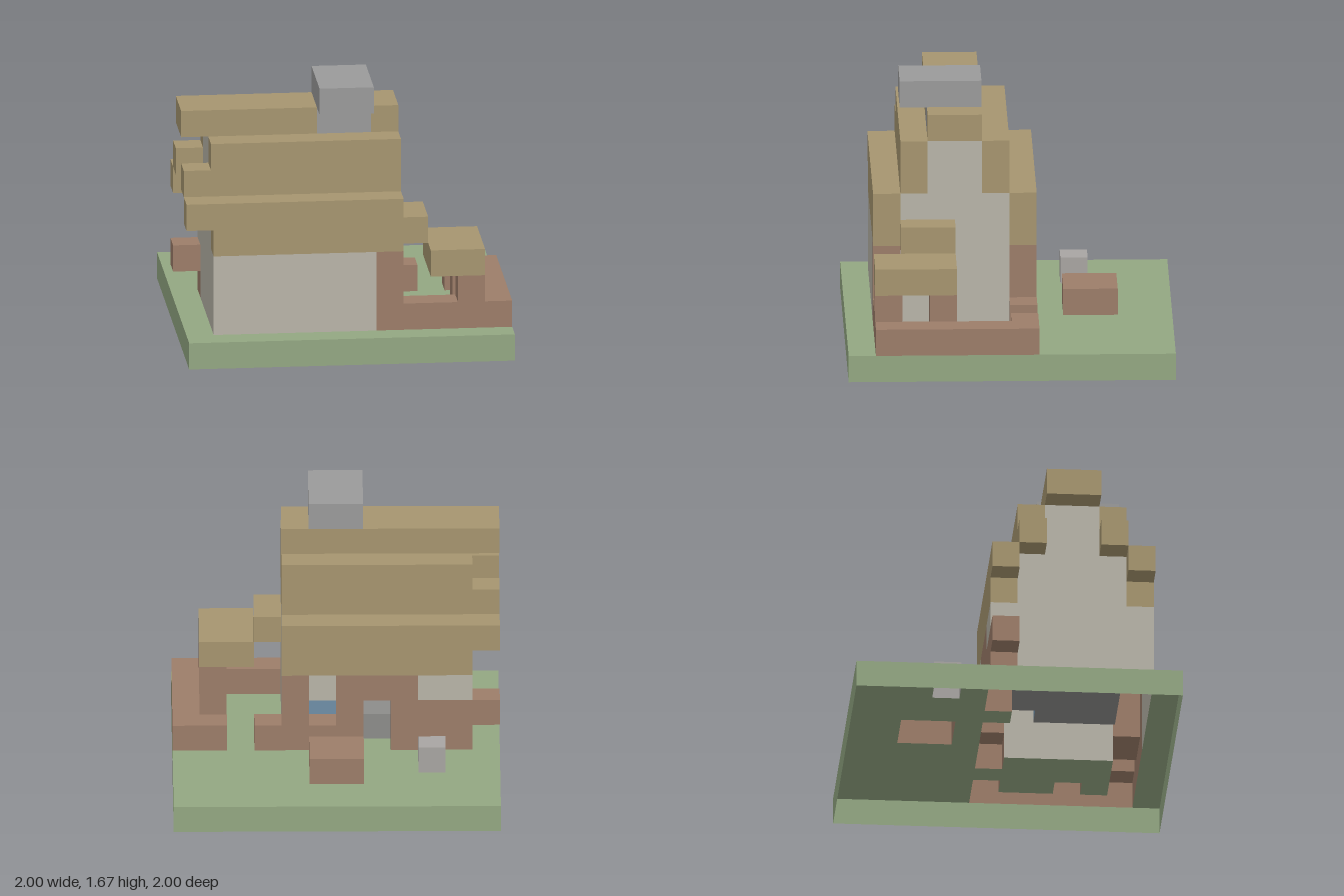
import * as THREE from 'three';

const SIZE = 12, U = 2 / SIZE; // block grid: 12 x 12 blocks on plan

const COLORS = {
  ground: 0x93a782, houseFloor: 0x8c8c8a, houseWalls: 0xb8b4a8, timberFrame: 0x9c7d69,
  windowGlass: 0x6f8fa8, roof: 0xa6956f, chimney: 0x9a9a9a, fence: 0x9c7d69,
  shedPosts: 0x9c7d69, shedRoof: 0xa6956f, crate: 0x9c7d69, boulder: 0xa8a5a2,
};

const key = (x, y, z) => `${x},${y},${z}`;

// Lay out the blocks: each cell of the grid holds the name of its part
function layBlocks() {
  const grid = new Map();
  // Fill w x h x d blocks from a corner cell; later parts replace earlier ones
  const fill = (name, x, y, z, w = 1, h = 1, d = 1) => {
    for (let i = x; i < x + w; i++)
      for (let j = y; j < y + h; j++)
        for (let k = z; k < z + d; k++) grid.set(key(i, j, k), name);
  };
  const back = 5, front = 10, left = 1, right = 7; // wall lines of the house

  fill('ground', 0, 0, 0, SIZE, 1, SIZE);
  fill('houseFloor', 2, 1, 6, 5, 1, 4);

  // Long walls, each with a timber post at its right end
  for (const z of [back, front]) {
    fill('houseWalls', left, 1, z, 7, 3);
    fill('timberFrame', right, 1, z, 1, 3);
  }

  // Gables step in towards the ridge
  for (const x of [left, right]) {
    fill('houseWalls', x, 1, 6, 1, 5, 4);
    fill('houseWalls', x, 6, 7, 1, 2, 2);
  }

  // Timber on the back wall: panels, lintel and a projecting beam end
  fill('timberFrame', 0, 2, back, 6);
  fill('timberFrame', left, 1, back, 6);
  fill('timberFrame', 3, 3, back, 3);

  // Doorway and recessed window
  for (const cell of [[4, 1, back], [4, 2, back], [6, 2, back]]) grid.delete(key(...cell));
  fill('windowGlass', 6, 2, 6);

  // Roof tiers, two blocks high, mirrored front to back, with overhangs on the left
  for (const z of [back, front]) {
    fill('roof', left, 4, z, 7, 2);
    fill('roof', 0, 5, z);
  }
  for (const z of [6, 9]) {
    fill('roof', left, 6, z, 7, 2);
    fill('roof', 0, 6, z);
  }
  fill('roof', 0, 8, 7, 8, 1, 2);

  fill('chimney', 5, 8, 8, 2);
  fill('chimney', 5, 9, 7, 2, 1, 3);

  // Garden fence with a gate gap at the back
  fill('fence', 8, 1, front, 4);
  fill('fence', 11, 1, back, 1, 1, 6);
  for (const x of [8, 10]) fill('fence', x, 1, back);

  // Lean-to shed
  for (const z of [8, front]) fill('shedPosts', 10, 1, z, 1, 2);
  fill('shedRoof', 9, 3, 8, 2, 1, 3);
  fill('shedRoof', 8, 4, 8, 1, 1, 2);

  // Loose items in the back yard
  fill('crate', 5, 1, 2, 2, 1, 2);
  fill('boulder', 2, 1, 3);
  return grid;
}

// Add the exposed faces of one block; the underside of the ground stays open
function addFaces(positions, grid, cell) {
  for (let axis = 0; axis < 3; axis++) {
    for (const side of [1, -1]) {
      const next = [...cell];
      next[axis] += side;
      if (next[1] < 0 || grid.has(key(...next))) continue;
      const corner = (da, db) => {
        const p = [...cell];
        if (side > 0) p[axis] += 1;
        p[(axis + 1) % 3] += da;
        p[(axis + 2) % 3] += db;
        return [p[0] * U - 1, p[1] * U, p[2] * U - 1];
      };
      const quad = [corner(0, 0), corner(1, 0), corner(1, 1), corner(0, 1)];
      if (side < 0) quad.reverse();
      for (const i of [0, 1, 2, 0, 2, 3]) positions.push(...quad[i]);
    }
  }
}

export function createModel() {
  const model = new THREE.Group();
  model.name = 'blockCottage';
  const grid = layBlocks();

  for (const [name, color] of Object.entries(COLORS)) {
    const positions = [];
    for (const [cell, part] of grid)
      if (part === name) addFaces(positions, grid, cell.split(',').map(Number));

    const geometry = new THREE.BufferGeometry();
    geometry.setAttribute('position', new THREE.Float32BufferAttribute(positions, 3));
    geometry.computeVertexNormals();
    const material = new THREE.MeshStandardMaterial({ color, side: THREE.DoubleSide });
    const mesh = new THREE.Mesh(geometry, material);
    mesh.name = name;
    model.add(mesh);
  }
  return model;
}
